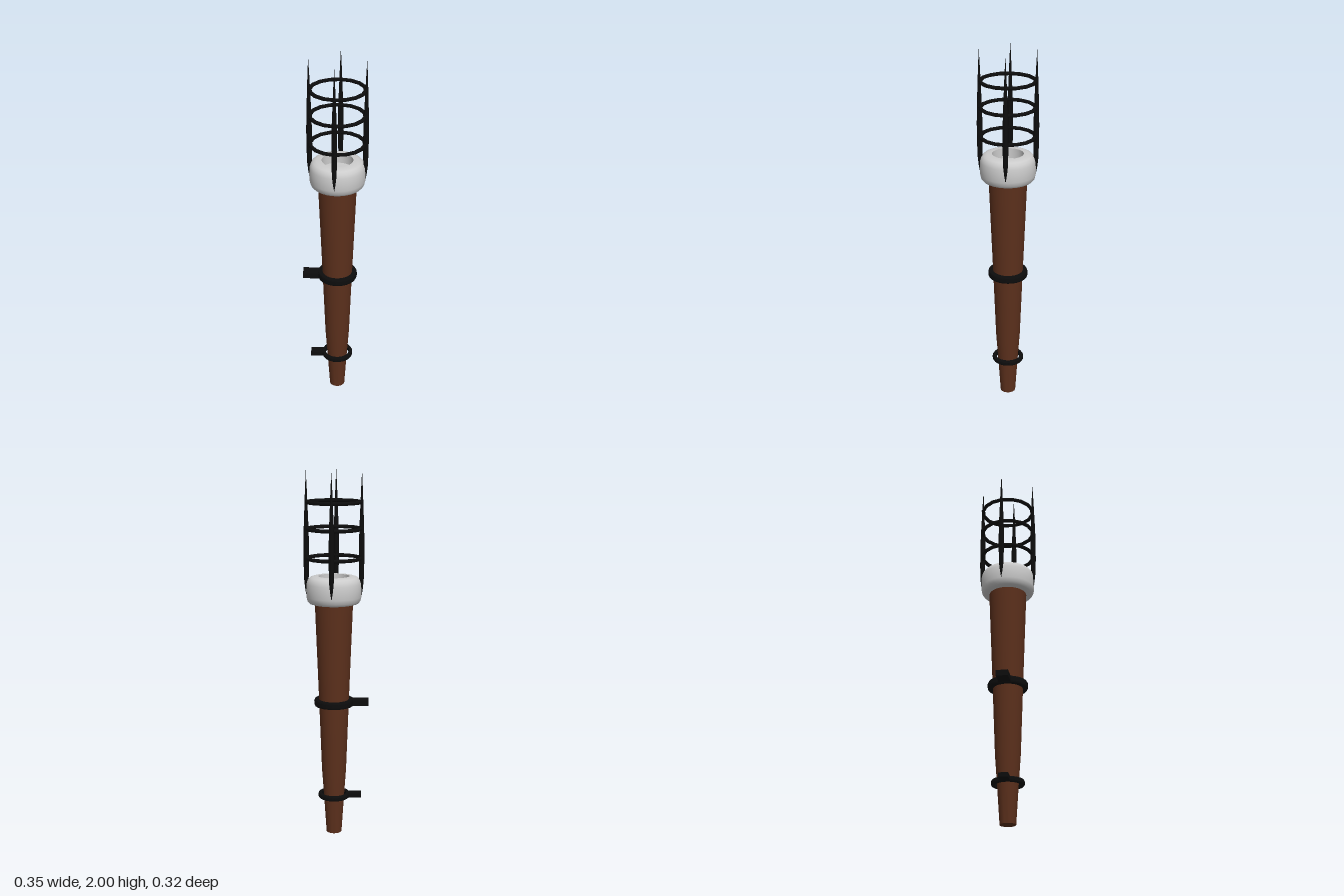
import * as THREE from 'three';
import { toCreasedNormals } from 'three/addons/utils/BufferGeometryUtils.js';

const AXIS_X = 0.011; // the shaft stands slightly off centre because of the side tabs

function lathe(points, segments, crease = 0.6) {
  const geo = new THREE.LatheGeometry(points.map(([r, y]) => new THREE.Vector2(r, y)), segments);
  return toCreasedNormals(geo, crease);
}

export function createModel() {
  const model = new THREE.Group();
  const torch = new THREE.Group();
  torch.name = 'torch';
  torch.position.x = AXIS_X;
  model.add(torch);

  const wood = new THREE.MeshStandardMaterial({ color: 0x5c301c });
  const iron = new THREE.MeshStandardMaterial({ color: 0x0d0d0d });
  const grey = new THREE.MeshStandardMaterial({ color: 0xcccccc });

  const add = (parent, name, geo, mat) => {
    const mesh = new THREE.Mesh(geo, mat);
    mesh.name = name;
    parent.add(mesh);
    return mesh;
  };

  // Tapered wooden shaft
  add(torch, 'shaft', lathe([
    [0, 0], [0.042, 0], [0.055, 0.2], [0.067, 0.37], [0.081, 0.75], [0.103, 1.31], [0, 1.31],
  ], 32), wood);

  // Rounded head with a shallow bowl in its top
  add(torch, 'head', lathe([
    [0, 1.297], [0.118, 1.297], [0.132, 1.301], [0.142, 1.313], [0.147, 1.335], [0.148, 1.37],
    [0.146, 1.405], [0.140, 1.425], [0.128, 1.438], [0.110, 1.444], [0.083, 1.445],
    [0.083, 1.39], [0, 1.39],
  ], 40, 0.7), grey);

  // Iron collars, each with a tab pointing to the side
  const collars = [
    { name: 'upperCollar', y: 0.752, h: 0.036, inner: 0.08, outer: 0.108, reach: 0.188, width: 0.064 },
    { name: 'lowerCollar', y: 0.217, h: 0.026, inner: 0.068, outer: 0.087, reach: 0.15, width: 0.05 },
  ];
  for (const { name, y, h, inner, outer, reach, width } of collars) {
    const collar = new THREE.Group();
    collar.name = name;
    collar.position.y = y;
    collar.rotation.y = 0.08;
    torch.add(collar);
    add(collar, name + 'Band', lathe([
      [inner, -h / 2], [outer - 0.004, -h / 2], [outer, -h / 4], [outer, h / 4],
      [outer - 0.004, h / 2], [inner, h / 2], [inner, -h / 2],
    ], 24), iron);
    const start = outer - 0.012;
    const tab = add(collar, name + 'Tab', new THREE.BoxGeometry(reach - start, h * 0.88, width), iron);
    tab.position.x = -(reach + start) / 2;
  }

  // Cage hoops
  [1.54, 1.695, 1.835].forEach((y, i) => {
    const hoop = add(torch, 'cageHoop' + (i + 1), new THREE.TorusGeometry(0.142, 0.01, 8, 16), iron);
    hoop.rotation.x = Math.PI / 2;
    hoop.position.y = y;
  });

  // Four pointed cage spikes
  const spikeGeo = lathe([
    [0, 1.335], [0.007, 1.375], [0.012, 1.42], [0.0145, 1.5], [0.015, 1.6],
    [0.013, 1.7], [0.009, 1.8], [0.005, 1.9], [0, 2],
  ], 10);
  for (let i = 0; i < 4; i++) {
    const a = i * Math.PI / 2;
    const spike = add(torch, 'cageSpike' + (i + 1), spikeGeo, iron);
    spike.position.set(0.147 * Math.cos(a), 0, 0.147 * Math.sin(a));
  }

  return model;
}
